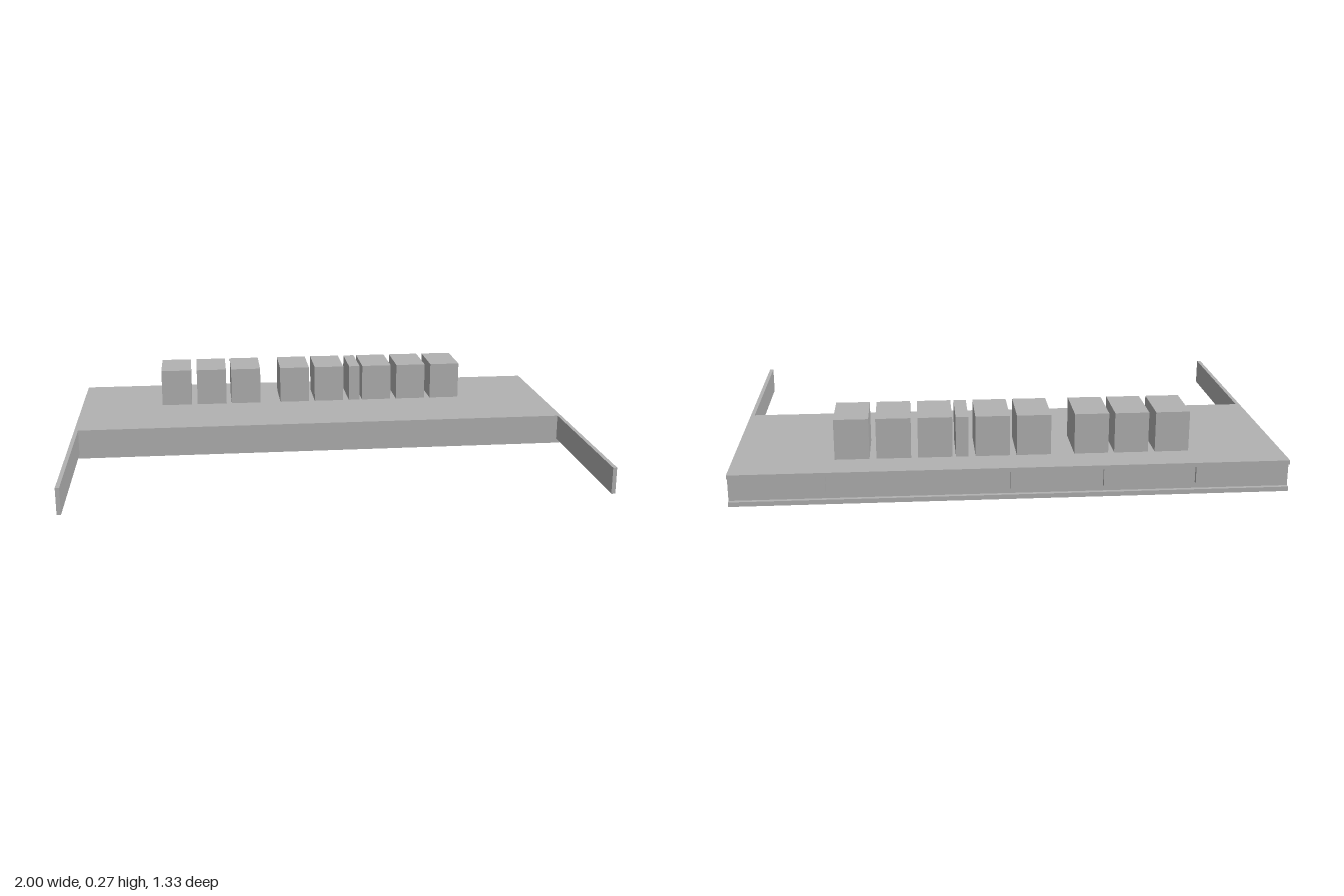
import * as THREE from 'three';

export function createModel() {
  const model = new THREE.Group();
  const concrete = new THREE.MeshStandardMaterial({ color: 0xb2b2b2 });
  concrete.name = 'concrete grey';

  // Box given by its extents on each axis
  function block(name, [x0, x1], [y0, y1], [z0, z1], parent = model) {
    const mesh = new THREE.Mesh(new THREE.BoxGeometry(x1 - x0, y1 - y0, z1 - z0), concrete);
    mesh.name = name;
    mesh.position.set((x0 + x1) / 2, (y0 + y1) / 2, (z0 + z1) / 2);
    parent.add(mesh);
    return mesh;
  }

  const T = 0.015; // wall thickness
  const BACK = -0.667;
  const TOP = 0.118;
  const UNDER = 0.103; // underside of the deck
  const FLOOR = 0.017; // top of the base slab
  const RIB = [0.039, UNDER]; // ribs hang below the deck

  // Slabs and full-height walls
  block('deck', [-1, 1], [UNDER, TOP], [BACK, 0]);
  block('baseSlab', [-1, 1], [0, FLOOR], [BACK, 0]);
  block('frontWall', [-1, 1], [FLOOR, UNDER], [-T, 0]);
  block('backWall', [-1, 1], [FLOOR, UNDER], [-0.652, -0.636]);

  // Ribs under the deck: two lengthwise, five crosswise
  const ribs = new THREE.Group();
  ribs.name = 'deckRibs';
  model.add(ribs);
  for (const z of [-0.212, -0.437]) {
    block('longRib', [-1, 1], RIB, [z - T / 2, z + T / 2], ribs);
  }
  for (let i = -2; i <= 2; i++) {
    const x = i / 3;
    block('crossRib', [x - T / 2, x + T / 2], RIB, [BACK, -T], ribs);
  }

  // Thin wing walls reaching forward at both ends
  block('leftWing', [1 - T, 1], [0.018, TOP], [0, 0.667]);
  block('rightWing', [-1, T - 1], [0.018, TOP], [0, 0.667]);

  // Row of blocks on the deck: start x and width
  const row = new THREE.Group();
  row.name = 'blockRow';
  model.add(row);
  const W = 0.125;
  const blocks = [
    [-0.658, W], [-0.508, W], [-0.361, W], [-0.15, W], [0, W],
    [0.15, 0.046], [0.208, W], [0.358, W], [0.508, W],
  ];
  for (const [x, w] of blocks) {
    block('deckBlock', [x, x + w], [TOP, 0.269], [-0.538, -0.335], row);
  }

  return model;
}
